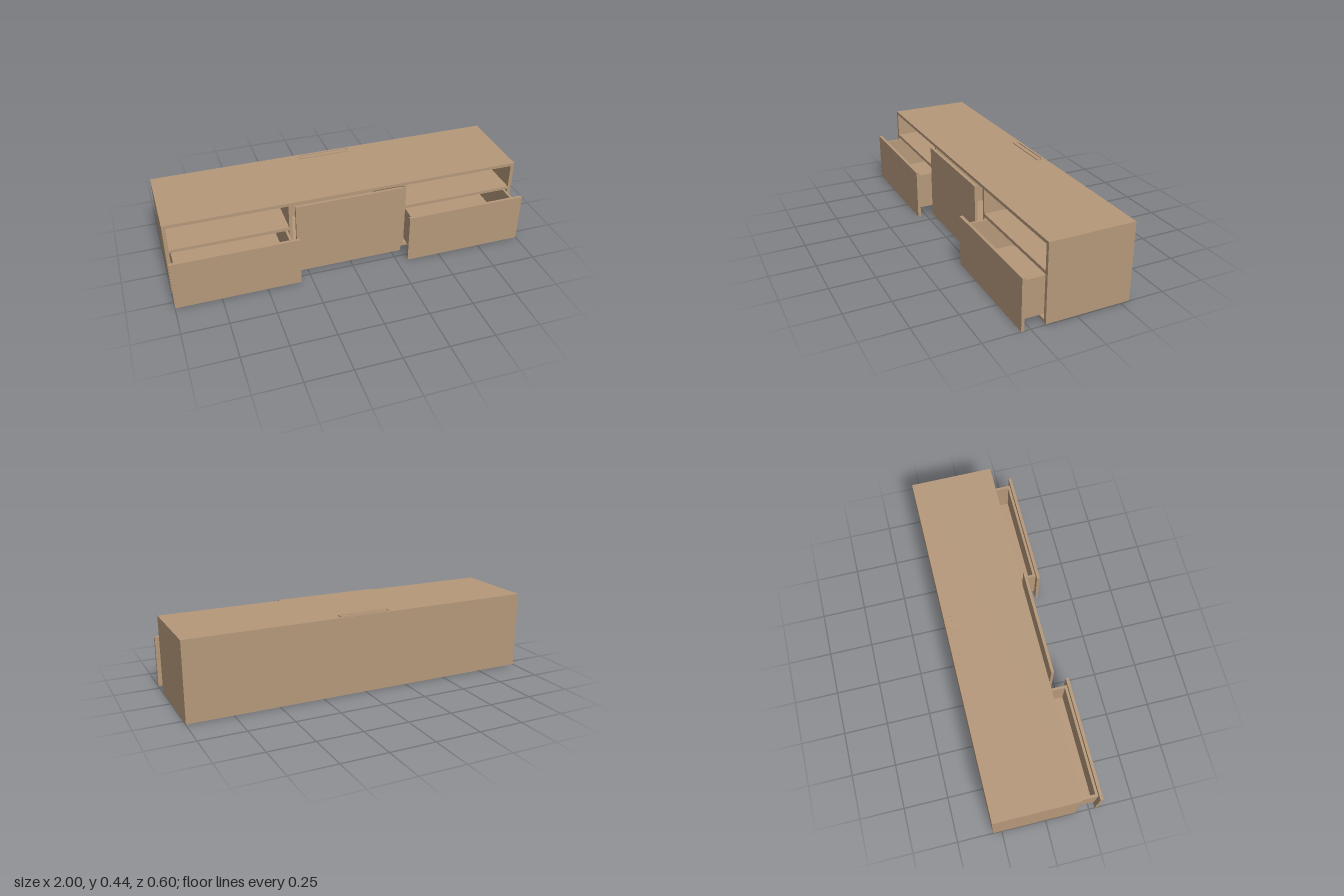
import * as THREE from 'three';

export function createModel() {
  const group = new THREE.Group();
  group.name = 'mediaCabinet';
  const wood = new THREE.MeshStandardMaterial({ color: 0xb5987a });
  wood.name = 'light brown wood';

  // Board given by its min and max corners
  function board(parent, name, x0, x1, y0, y1, z0, z1) {
    const mesh = new THREE.Mesh(new THREE.BoxGeometry(x1 - x0, y1 - y0, z1 - z0), wood);
    mesh.position.set((x0 + x1) / 2, (y0 + y1) / 2, (z0 + z1) / 2);
    mesh.name = name;
    parent.add(mesh);
  }
  // Same board on the side given by s = 1 (left) or -1 (right)
  function sided(parent, s, name, a, b, ...rest) {
    board(parent, name, s > 0 ? a : -b, s > 0 ? b : -a, ...rest);
  }

  // Carcass
  const carcass = new THREE.Group();
  carcass.name = 'carcass';
  group.add(carcass);
  const back = -0.3, front = 0.17;
  board(carcass, 'topPanel', -1, 1, 0.42, 0.438, back, front);
  board(carcass, 'bottomPanel', -1, 1, 0.003, 0.021, back, front);
  board(carcass, 'backPanel', -0.98, 0.98, 0.021, 0.42, back, back + 0.012);
  for (const s of [1, -1]) {
    sided(carcass, s, 'sidePanel', 0.98, 1, 0.021, 0.42, back, front);
    sided(carcass, s, 'divider', 0.318, 0.336, 0.021, 0.42, back + 0.012, front);
    sided(carcass, s, 'nicheShelf', 0.336, 0.98, 0.264, 0.282, back + 0.012, front);
  }

  // Pulled-out drawers
  for (const s of [1, -1]) {
    const drawer = new THREE.Group();
    drawer.name = s > 0 ? 'leftDrawer' : 'rightDrawer';
    group.add(drawer);
    const z0 = -0.16, z1 = 0.283;
    sided(drawer, s, 'drawerFront', 0.312, 1, 0, 0.285, z1, 0.3);
    sided(drawer, s, 'drawerInnerSide', 0.342, 0.356, 0.045, 0.253, z0, z1);
    sided(drawer, s, 'drawerOuterSide', 0.958, 0.972, 0.045, 0.253, z0, z1);
    sided(drawer, s, 'drawerInnerFront', 0.356, 0.958, 0.045, 0.253, z1 - 0.014, z1);
    sided(drawer, s, 'drawerBack', 0.356, 0.958, 0.045, 0.253, z0, z0 + 0.014);
    sided(drawer, s, 'drawerBottom', 0.356, 0.958, 0.055, 0.067, z0 + 0.014, z1 - 0.014);
  }

  // Middle door panel, standing clear of the carcass
  board(group, 'middleDoor', -0.307, 0.303, 0.005, 0.432, 0.193, 0.209);

  // Rounded outline for the cable outlet
  function rounded(target, w, h, r) {
    const x = w / 2, y = h / 2;
    target.moveTo(-x + r, -y);
    target.lineTo(x - r, -y);
    target.absarc(x - r, -y + r, r, -Math.PI / 2, 0);
    target.absarc(x - r, y - r, r, 0, Math.PI / 2);
    target.absarc(-x + r, y - r, r, Math.PI / 2, Math.PI);
    target.absarc(-x + r, -y + r, r, Math.PI, Math.PI * 1.5);
    return target;
  }

  // Cable outlet on the top, near the back
  const outlet = new THREE.Group();
  outlet.name = 'cableOutlet';
  const rim = rounded(new THREE.Shape(), 0.3, 0.042, 0.01);
  rim.holes.push(rounded(new THREE.Path(), 0.28, 0.022, 0.006));
  const rimMesh = new THREE.Mesh(
    new THREE.ExtrudeGeometry(rim, { depth: 0.006, bevelEnabled: false, curveSegments: 5 }), wood);
  rimMesh.name = 'outletRim';
  rimMesh.rotation.x = -Math.PI / 2;
  outlet.add(rimMesh);
  board(outlet, 'outletFlap', -0.136, 0.136, 0, 0.003, -0.008, 0.008);
  outlet.position.set(-0.002, 0.437, -0.27);
  group.add(outlet);

  return group;
}
